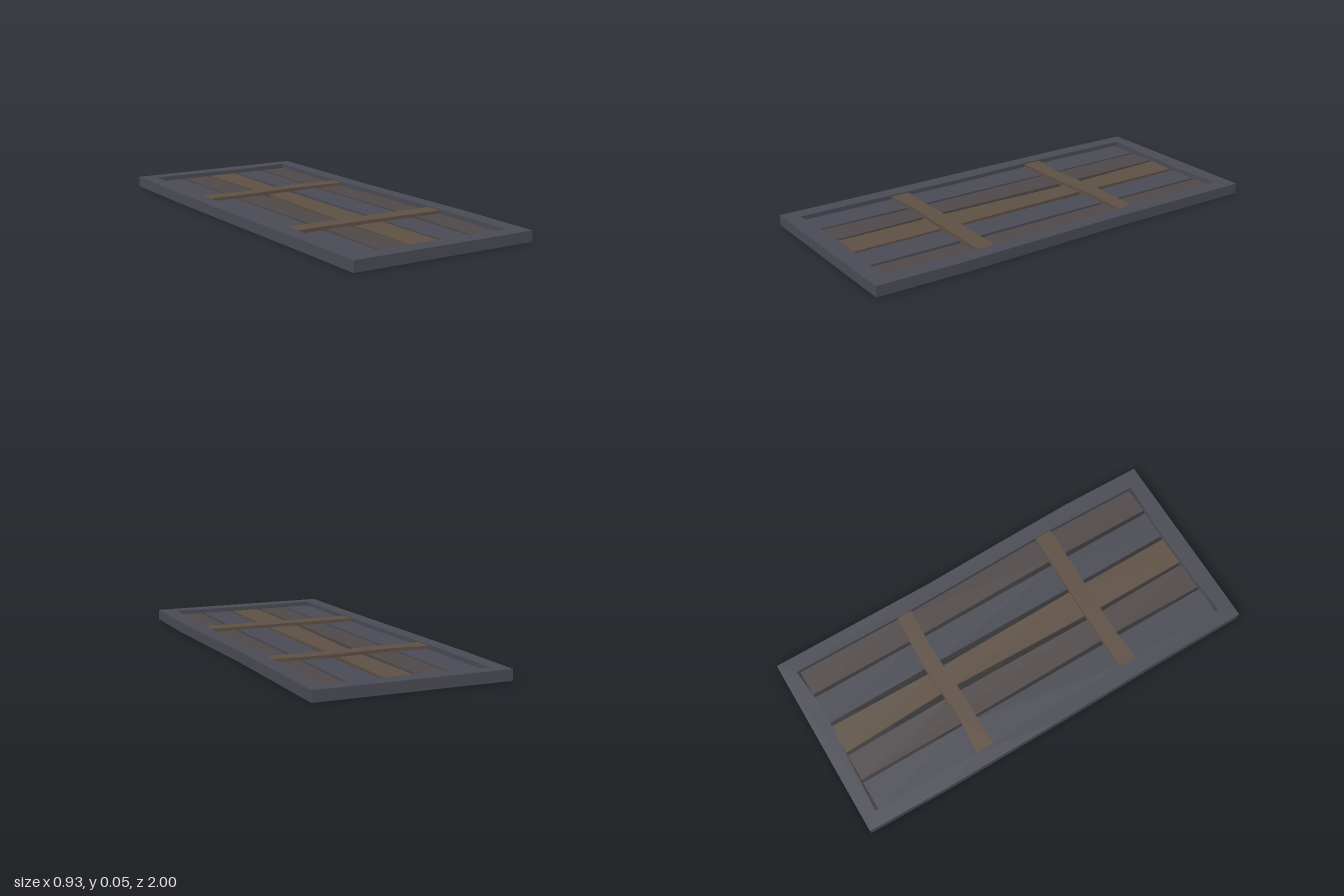
import * as THREE from 'three';

const TOP = 0.05, BAR_TOP = 0.045, PLANK_TOP = 0.03, FLOOR = 0.016;
const STEEL = 0x4b4b55, WORN = 0x50494a, BROWN = 0x5e5044, DARK = 0x2e2c2e;

// outlines as [x, z], seen from above
const OUTER = [
  [-0.455, 1], [0.455, 1], [0.463, 0.6], [0.455, 0.2], [0.445, -0.2], [0.45, -1],
  [-0.455, -1], [-0.463, -0.6], [-0.46, 0], [-0.455, 0.5],
];
const INNER = [
  [-0.385, 0.93], [-0.2, 0.918], [0.1, 0.915], [0.375, 0.93], [0.385, 0.42], [0.37, -0.37],
  [0.375, -0.935], [0.22, -0.918], [0.08, -0.915], [-0.385, -0.935], [-0.393, -0.4], [-0.38, 0.1],
];

const material = (color) =>
  new THREE.MeshStandardMaterial({ color, side: THREE.DoubleSide, flatShading: true });

const vectors = (points) => points.map(([x, z]) => new THREE.Vector2(x, -z));

function part(name, geometry, color) {
  const mesh = new THREE.Mesh(geometry, material(color));
  mesh.name = name;
  return mesh;
}

// flat sheet at height y, with an optional hole
function sheet(points, y, hole) {
  const shape = new THREE.Shape(vectors(points));
  if (hole) shape.holes.push(new THREE.Path(vectors(hole)));
  return new THREE.ShapeGeometry(shape).rotateX(-Math.PI / 2).translate(0, y, 0);
}

// solid slab between two heights
function slab(points, y0, y1) {
  const shape = new THREE.Shape(vectors(points));
  return new THREE.ExtrudeGeometry(shape, { depth: y1 - y0, bevelEnabled: false })
    .rotateX(-Math.PI / 2).translate(0, y0, 0);
}

// upright wall following a closed outline, facing outwards unless inward is set
function wall(points, y0, y1, inward) {
  const loop = inward ? [...points].reverse() : points;
  const position = [];
  loop.forEach(([ax, az], i) => {
    const [bx, bz] = loop[(i + 1) % loop.length];
    position.push(ax, y0, az, bx, y0, bz, bx, y1, bz, ax, y0, az, bx, y1, bz, ax, y1, az);
  });
  const geometry = new THREE.BufferGeometry();
  geometry.setAttribute('position', new THREE.Float32BufferAttribute(position, 3));
  geometry.computeVertexNormals();
  return geometry;
}

export function createModel() {
  const model = new THREE.Group();
  model.name = 'plankHatch';

  // warped frame, hollow and open underneath
  const frame = new THREE.Group();
  frame.name = 'frame';
  frame.add(
    part('frameTop', sheet(OUTER, TOP, INNER), STEEL),
    part('frameOuterWall', wall(OUTER, 0, TOP), STEEL),
    part('frameInnerWall', wall(INNER, FLOOR, TOP, true), STEEL),
  );
  model.add(frame);

  // backing seen in the gaps and from below
  model.add(part('backing', sheet(INNER, FLOOR), DARK));

  // planks: left and right edge x at the four stations in z
  const stations = [-0.92, -0.37, 0.42, 0.92];
  const planks = [
    { left: [-0.382, -0.39, -0.382, -0.382], right: [-0.242, -0.243, -0.243, -0.245], color: STEEL },
    { left: [-0.228, -0.23, -0.222, -0.232], right: [-0.095, -0.09, -0.1, -0.092], color: WORN },
    { left: [-0.08, -0.058, -0.078, -0.078], right: [0.065, 0.055, 0.065, 0.066], color: BROWN },
    { left: [0.084, 0.086, 0.084, 0.084], right: [0.228, 0.226, 0.228, 0.228], color: STEEL },
    { left: [0.245, 0.242, 0.252, 0.245], right: [0.372, 0.368, 0.382, 0.372], color: WORN },
  ];
  planks.forEach(({ left, right, color }, i) => {
    const outline = [
      ...left.map((x, k) => [x, stations[k]]),
      ...right.map((x, k) => [x, stations[k]]).reverse(),
    ];
    model.add(part(`plank${i + 1}`, slab(outline, FLOOR + 0.001, PLANK_TOP), color));
  });

  // two uneven cross bars over the planks
  const backBar = [
    [-0.392, -0.325], [-0.1, -0.325], [0.15, -0.337], [0.37, -0.325],
    [0.37, -0.4], [0.1, -0.415], [-0.2, -0.397], [-0.392, -0.415],
  ];
  const frontBar = [
    [-0.384, 0.46], [-0.2, 0.45], [0.1, 0.46], [0.385, 0.465],
    [0.385, 0.38], [0.1, 0.375], [-0.384, 0.37],
  ];
  model.add(
    part('backCrossBar', slab(backBar, FLOOR + 0.002, BAR_TOP), BROWN),
    part('frontCrossBar', slab(frontBar, FLOOR + 0.002, BAR_TOP), BROWN),
  );

  return model;
}
